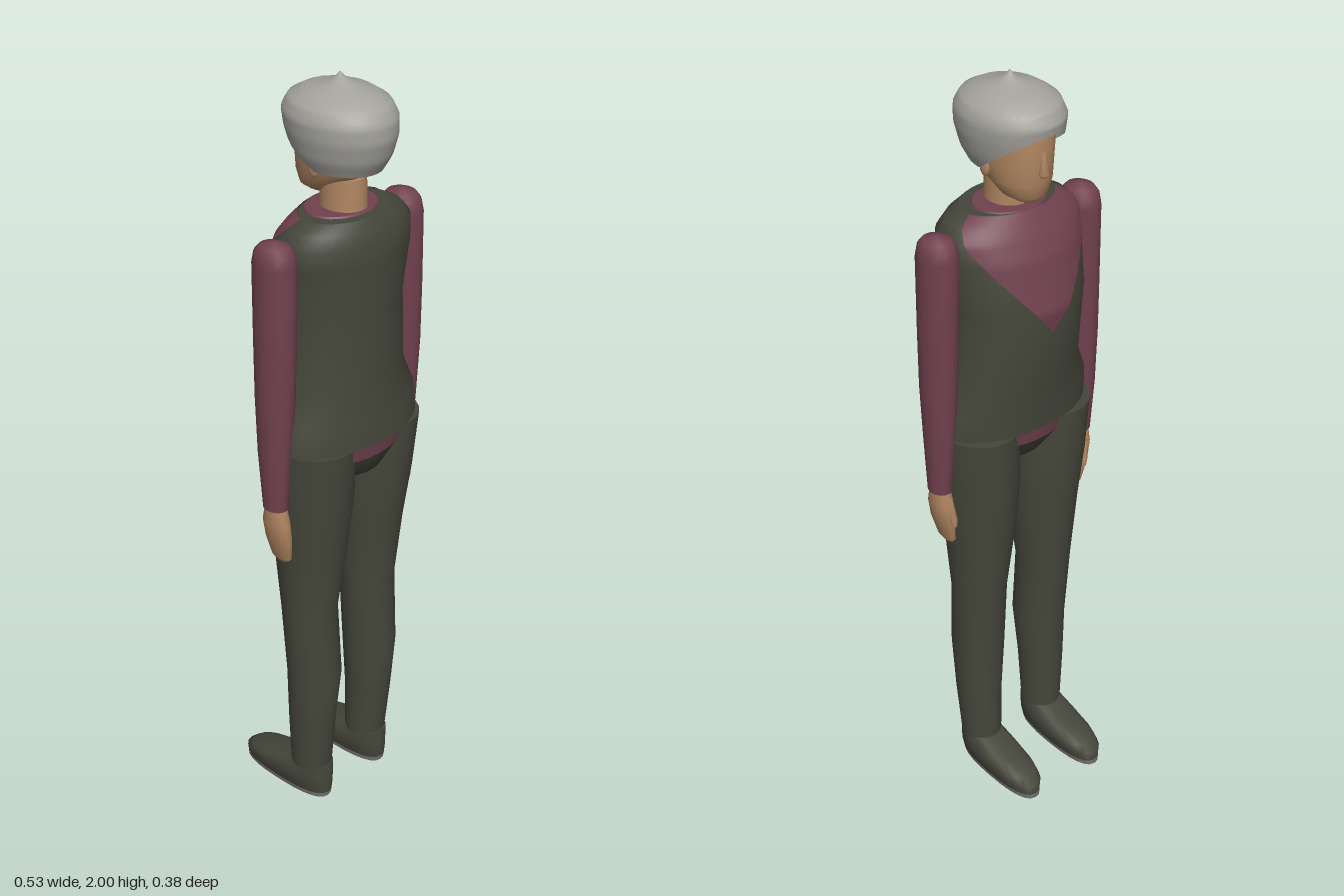
import * as THREE from 'three';

const mat = (name, color, side = THREE.FrontSide) => {
  const m = new THREE.MeshStandardMaterial({ color, side });
  m.name = name;
  return m;
};

// Section of a profile at height y. Profile rows: [y, centreX, halfWidth, zBack, zFront], rising in y.
function section(profile, y) {
  let i = 0;
  while (i < profile.length - 2 && y > profile[i + 1][0]) i++;
  const a = profile[i], b = profile[i + 1];
  const t = THREE.MathUtils.clamp((y - a[0]) / (b[0] - a[0]), 0, 1);
  return a.map((v, k) => v + (b[k] - v) * t);
}

// Point on a section; power below 1 makes the ellipse squarer, grow pushes it outward.
function pointOn([y, cx, rx, zb, zf], angle, power = 1, grow = 0) {
  const c = Math.cos(angle), s = Math.sin(angle);
  const bend = v => Math.sign(v) * Math.abs(v) ** power;
  return [cx + (rx + grow) * bend(c), y, (zb + zf) / 2 + ((zb - zf) / 2 + grow) * bend(s)];
}

// Grid surface from rows of points, optionally wrapped around and capped at both ends.
function skin(rows, closed = true, caps = true) {
  const n = rows[0].length, pos = rows.flat(2), idx = [];
  for (let i = 0; i < rows.length - 1; i++) {
    for (let j = 0; j < (closed ? n : n - 1); j++) {
      const k = (j + 1) % n;
      const a = i * n + j, b = i * n + k, c = a + n, d = b + n;
      idx.push(a, c, b, b, c, d);
    }
  }
  if (caps) {
    [rows[0], rows[rows.length - 1]].forEach((row, top) => {
      const base = pos.length / 3;
      row.forEach(p => pos.push(...p));
      for (let j = 1; j < n - 1; j++) {
        if (top) idx.push(base, base + j + 1, base + j);
        else idx.push(base, base + j, base + j + 1);
      }
    });
  }
  const g = new THREE.BufferGeometry();
  g.setAttribute('position', new THREE.Float32BufferAttribute(pos, 3));
  g.setIndex(idx);
  g.computeVertexNormals();
  return g;
}

const ring = (sec, n, power) =>
  Array.from({ length: n }, (_, j) => pointOn(sec, (j / n) * Math.PI * 2, power));
const loft = (profile, n = 24, power = 1) => skin(profile.map(r => ring(r, n, power)));
const mirrorProfile = (profile, s) => profile.map(([y, x, ...r]) => [y, x * s, ...r]);

const TORSO = [
  [1.10, 0, 0.222, 0.19, -0.08], [1.17, 0, 0.218, 0.185, -0.085],
  [1.25, 0, 0.18, 0.178, -0.098], [1.45, 0, 0.178, 0.175, -0.122],
  [1.58, 0, 0.192, 0.182, -0.09], [1.63, 0, 0.192, 0.175, -0.065],
  [1.66, 0, 0.165, 0.16, -0.045], [1.68, 0, 0.125, 0.145, -0.03],
];
const PELVIS = [
  [0.975, 0, 0.06, 0.11, 0], [1.0, 0, 0.1, 0.15, -0.03], [1.06, 0, 0.17, 0.178, -0.068],
];
const SHIRT_HEM = [[1.06, 0, 0.17, 0.178, -0.068], [1.11, 0, 0.2, 0.185, -0.077]];
const LEG = [
  [0.095, 0.105, 0.053, 0.1, -0.01], [0.25, 0.108, 0.06, 0.115, -0.013],
  [0.4, 0.105, 0.068, 0.13, -0.018], [0.6, 0.108, 0.073, 0.115, -0.03],
  [0.8, 0.103, 0.09, 0.142, -0.055], [0.95, 0.107, 0.104, 0.162, -0.07],
  [1.1, 0.115, 0.105, 0.175, -0.078],
];
const SHOE = [
  [0.014, 0.105, 0.046, 0.107, -0.188], [0.04, 0.105, 0.055, 0.108, -0.186],
  [0.058, 0.105, 0.055, 0.108, -0.162], [0.075, 0.105, 0.053, 0.106, -0.1],
  [0.1, 0.105, 0.046, 0.104, -0.012],
];
const SOLE = [[0, 0.105, 0.043, 0.105, -0.188], [0.014, 0.105, 0.046, 0.107, -0.189]];
const ARM = [
  [0.95, 0.226, 0.028, 0.078, 0.01], [1.1, 0.225, 0.036, 0.087, -0.003],
  [1.25, 0.222, 0.043, 0.097, -0.01], [1.4, 0.22, 0.045, 0.1, -0.013],
  [1.6, 0.217, 0.048, 0.1, -0.015], [1.63, 0.217, 0.043, 0.093, -0.009],
  [1.645, 0.217, 0.033, 0.08, 0.004], [1.655, 0.217, 0.005, 0.047, 0.037],
];
const HAND = [
  [0.785, 0.204, 0.008, 0.062, 0.025], [0.8, 0.208, 0.014, 0.077, 0.012],
  [0.86, 0.218, 0.023, 0.086, 0.004], [0.91, 0.224, 0.027, 0.084, 0.004],
  [0.965, 0.226, 0.023, 0.07, 0.018],
];
const HEAD = [
  [1.708, 0, 0.03, 0.02, -0.053], [1.725, 0, 0.055, 0.05, -0.068],
  [1.76, 0, 0.073, 0.1, -0.076], [1.8, 0, 0.08, 0.13, -0.079],
  [1.87, 0, 0.088, 0.14, -0.081], [1.92, 0, 0.08, 0.13, -0.07], [1.95, 0, 0.04, 0.08, -0.01],
];
const HAIR = [
  [1.785, 0, 0.088, 0.155, -0.065], [1.82, 0, 0.105, 0.176, -0.085],
  [1.87, 0, 0.117, 0.19, -0.1], [1.91, 0, 0.12, 0.189, -0.106],
  [1.94, 0, 0.108, 0.172, -0.09], [1.962, 0, 0.075, 0.13, -0.05],
  [1.975, 0, 0.035, 0.08, 0.005], [1.988, 0, 0.013, 0.056, 0.028], [2.0, 0, 0.002, 0.044, 0.04],
];

// Hair cap whose rim sweeps up over the forehead
function hairGeometry() {
  const n = 36, steps = 22, rows = [];
  for (let i = 0; i <= steps; i++) {
    rows.push(Array.from({ length: n }, (_, j) => {
      const a = (j / n) * Math.PI * 2;
      const rim = 1.785 + 0.105 * Math.max(0, -Math.sin(a)) ** 1.2;
      return pointOn(section(HAIR, rim + (2 - rim) * (i / steps)), a);
    }));
  }
  return skin(rows, true, false);
}

// V-shaped shirt front lying just over the vest
function neckGeometry() {
  const rows = [], outline = [[1.39, 0], [1.6, 0.95], [1.645, 1.15], [1.68, 1.35]];
  for (let i = 0; i <= 24; i++) {
    const y = 1.39 + (0.29 * i) / 24;
    const half = section(outline, y)[1];
    rows.push(Array.from({ length: 21 }, (_, j) =>
      pointOn(section(TORSO, y), Math.PI * 1.5 + half * (j / 10 - 1), 1, 0.004)));
  }
  return skin(rows, false, false);
}

export function createModel() {
  const model = new THREE.Group();
  model.name = 'standingFigure';
  const olive = mat('dark olive cloth', 0x45463a);
  const plum = mat('plum shirt', 0x71414f, THREE.DoubleSide);
  const flesh = mat('skin', 0xb08561);
  const grey = mat('grey hair', 0xa3a29c, THREE.DoubleSide);
  const rubber = mat('sole grey', 0x77747a);
  const add = (name, geometry, material) => {
    const m = new THREE.Mesh(geometry, material);
    m.name = name;
    model.add(m);
    return m;
  };

  // Trunk and clothes
  add('vest', loft(TORSO, 40), olive);
  add('shirtFront', neckGeometry(), plum);
  add('collar', loft([[1.677, 0, 0.1, 0.125, -0.033], [1.684, 0, 0.095, 0.12, -0.03]], 32), plum);
  add('shirtHem', loft(SHIRT_HEM, 32), plum);
  add('trouserSeat', loft(PELVIS, 32), olive);

  // Head
  add('neck', loft([[1.66, 0, 0.053, 0.115, -0.006], [1.76, 0, 0.05, 0.112, -0.006]]), flesh);
  add('head', loft(HEAD, 32), flesh);
  add('hair', hairGeometry(), grey);
  add('nose', loft([
    [1.778, 0, 0.006, -0.07, -0.082], [1.788, 0, 0.014, -0.07, -0.093],
    [1.84, 0, 0.006, -0.072, -0.083]], 12), flesh);

  // Limbs on both sides
  for (const [side, s] of [['left', 1], ['right', -1]]) {
    const limb = (name, profile, material, n, power) =>
      add(side + name, loft(mirrorProfile(profile, s), n, power), material);
    limb('Leg', LEG, olive);
    limb('Shoe', SHOE, olive, 24, 0.8);
    limb('Sole', SOLE, rubber, 24, 0.8);
    limb('Sleeve', ARM, plum, 20);
    limb('Hand', HAND, flesh, 16);
    limb('Thumb', [[0.85, 0.213, 0.007, 0.012, -0.002], [0.87, 0.214, 0.01, 0.016, -0.004],
      [0.93, 0.222, 0.012, 0.032, 0.006]], flesh, 10);
    const ear = add(side + 'Ear', new THREE.SphereGeometry(1, 12, 8), flesh);
    ear.scale.set(0.009, 0.025, 0.016);
    ear.position.set(0.08 * s, 1.79, 0.035);
  }
  return model;
}
